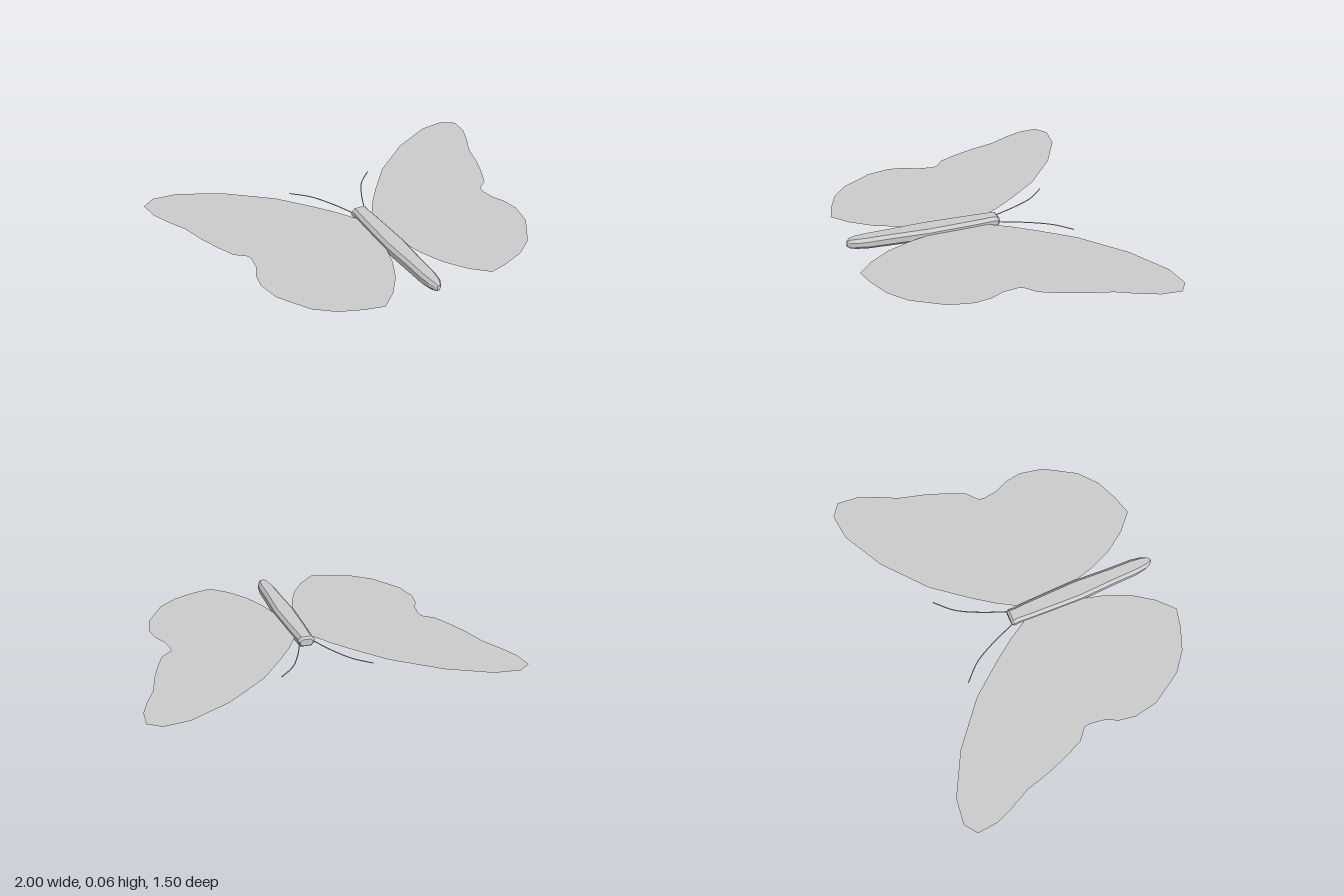
import * as THREE from 'three';

const MID = 0.036; // height of wings and antennae

// Wing outline as [x, z], leading edge first, then back along the hind wing
const WING = [
  [0.0, 0.0], [0.05, -0.04], [0.11, -0.14], [0.19, -0.25], [0.335, -0.43], [0.565, -0.62],
  [0.79, -0.738], [0.93, -0.755], [1.0, -0.705], [0.99, -0.595], [0.95, -0.495],
  [0.895, -0.385], [0.857, -0.245], [0.815, -0.13], [0.77, -0.03], [0.71, 0.02],
  [0.705, 0.05], [0.717, 0.13], [0.75, 0.2], [0.765, 0.29], [0.74, 0.42],
  [0.635, 0.59], [0.535, 0.67], [0.415, 0.718], [0.31, 0.745], [0.22, 0.663],
  [0.14, 0.55], [0.085, 0.42], [0.055, 0.31], [0.0, 0.25],
];

// Body stations from head to tail: [z, half width, bottom, top]
const BODY = [
  [-0.102, 0.036, 0.016, 0.052], [-0.09, 0.046, 0.008, 0.063], [-0.065, 0.043, 0.004, 0.065],
  [0.0, 0.047, 0.001, 0.065], [0.15, 0.052, 0, 0.065], [0.3, 0.056, 0, 0.065],
  [0.4, 0.051, 0, 0.065], [0.5, 0.046, 0, 0.065], [0.63, 0.043, 0.003, 0.065],
  [0.69, 0.034, 0.008, 0.064], [0.72, 0.021, 0.013, 0.061], [0.735, 0.008, 0.02, 0.05],
];

// Loft of chamfered sections along z, closed with flat caps
function bodyGeometry() {
  const pos = [], index = [], n = 8;
  for (const [z, w, lo, hi] of BODY) {
    const c = Math.min(0.016, w * 0.4), h = Math.min(0.017, (hi - lo) * 0.3);
    const ring = [[w, lo + h], [w, hi - h], [w - c, hi], [c - w, hi],
      [-w, hi - h], [-w, lo + h], [c - w, lo], [w - c, lo]];
    for (const [x, y] of ring) pos.push(x, y, z);
  }
  for (let s = 0; s < BODY.length - 1; s++) {
    for (let i = 0; i < n; i++) {
      const a = s * n + i, b = s * n + (i + 1) % n;
      index.push(a, b, a + n, b, b + n, a + n);
    }
  }
  const last = (BODY.length - 1) * n;
  for (let i = 1; i < n - 1; i++) {
    index.push(0, i + 1, i, last, last + i, last + i + 1);
  }
  const g = new THREE.BufferGeometry();
  g.setAttribute('position', new THREE.Float32BufferAttribute(pos, 3));
  g.setIndex(index);
  g.computeVertexNormals();
  return g;
}

export function createModel() {
  const model = new THREE.Group();
  model.name = 'butterfly';
  const solid = new THREE.MeshStandardMaterial({ color: 0xcccccc, flatShading: true });
  const thin = new THREE.MeshStandardMaterial({ color: 0xcccccc, side: THREE.DoubleSide });
  const add = (name, geometry, material) => {
    const mesh = new THREE.Mesh(geometry, material);
    mesh.name = name;
    model.add(mesh);
  };

  add('body', bodyGeometry(), solid);

  for (const [side, s] of [['left', 1], ['right', -1]]) {
    // Flat wing sheet, laid down so its front faces up
    const shape = new THREE.Shape(WING.map(([x, z]) => new THREE.Vector2(s * x, -z)));
    const wing = new THREE.ShapeGeometry(shape);
    wing.rotateX(-Math.PI / 2).translate(0, MID, 0);
    add(side + 'Wing', wing, thin);

    // Fine antenna curving outwards from the head
    const path = new THREE.CatmullRomCurve3(
      [[0.033, -0.085], [0.045, -0.115], [0.092, -0.23], [0.16, -0.355], [0.247, -0.443]]
        .map(([x, z]) => new THREE.Vector3(s * x, MID, z)));
    add(side + 'Antenna', new THREE.TubeGeometry(path, 12, 0.003, 6), thin);
  }
  return model;
}
